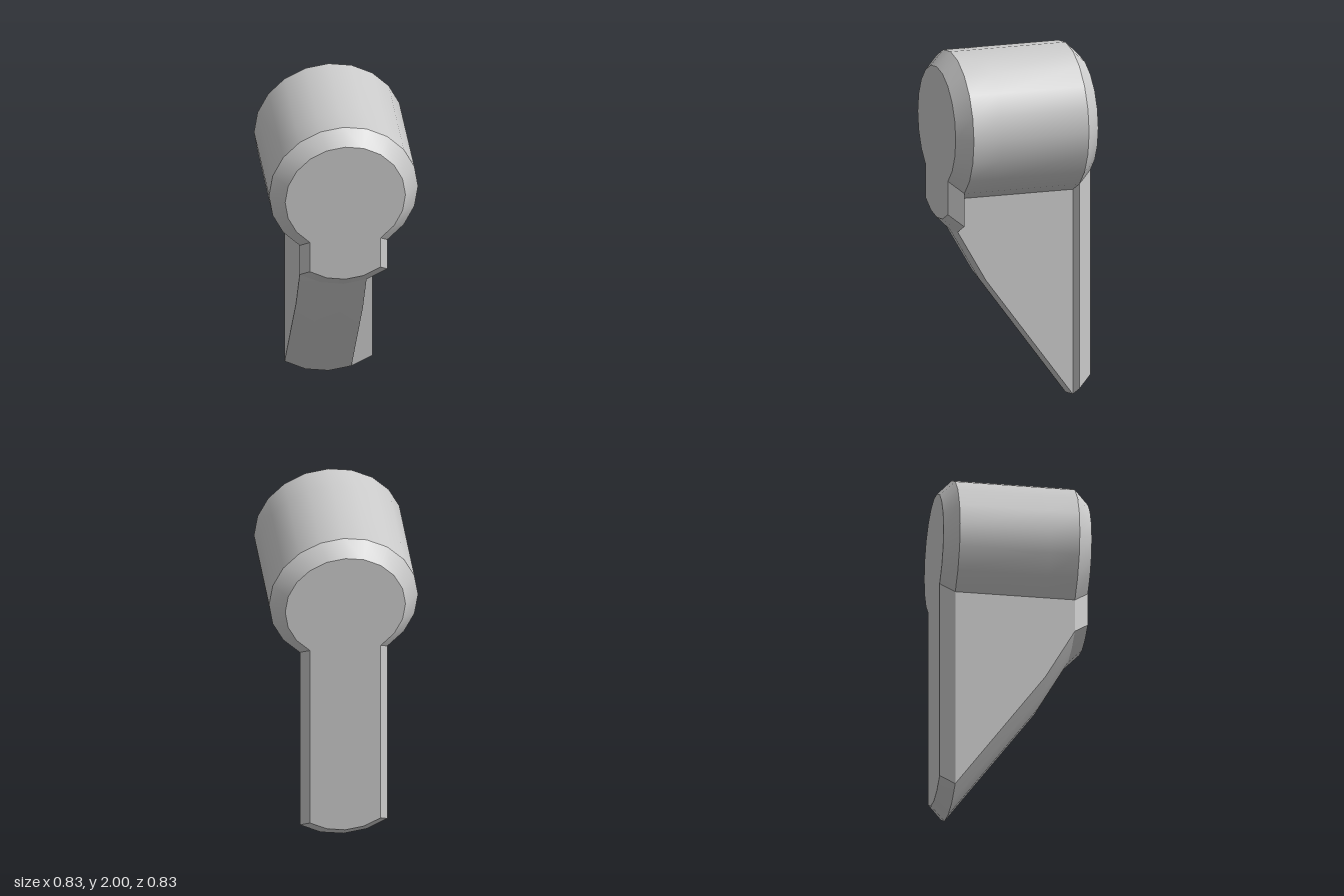
import * as THREE from 'three';
import { toCreasedNormals } from 'three/addons/utils/BufferGeometryUtils.js';

const R = 0.415, INSET = 0.335, CENTRE = 1.585, STEP = Math.PI / 10;

// Keyhole outline at depth z, counter-clockwise from the front: round head on a round-ended leg.
// r is the head radius, bottom the lowest point of the leg.
// A recessed outline cuts the left side of the leg one step further in.
function keyhole(z, r, bottom, recessed = false) {
  const pts = [];
  const first = recessed ? 1 : 2;
  for (let k = first; k <= 18; k++) {
    pts.push(new THREE.Vector3(r * Math.sin(k * STEP), CENTRE - r * Math.cos(k * STEP), z));
  }
  for (let k = -2; k <= first; k++) {
    pts.push(new THREE.Vector3(r * Math.sin(k * STEP), bottom + r * (1 - Math.cos(k * STEP)), z));
  }
  return pts;
}

// Skin a row of outlines running front to back and close both ends
function loft(name, loops, material) {
  const pos = [];
  const tri = (...corners) => corners.forEach((p) => pos.push(p.x, p.y, p.z));
  for (let s = 0; s < loops.length - 1; s++) {
    const a = loops[s], b = loops[s + 1];
    a.forEach((p, i) => {
      const j = (i + 1) % a.length;
      tri(p, b[i], b[j]);
      tri(p, b[j], a[j]);
    });
  }
  const cap = (loop, flip) => {
    const flat = loop.map((p) => new THREE.Vector2(p.x, p.y));
    for (const [i, j, k] of THREE.ShapeUtils.triangulateShape(flat, [])) {
      if (flip) tri(loop[i], loop[k], loop[j]);
      else tri(loop[i], loop[j], loop[k]);
    }
  };
  cap(loops[0], false);
  cap(loops[loops.length - 1], true);
  const geometry = new THREE.BufferGeometry();
  geometry.setAttribute('position', new THREE.Float32BufferAttribute(pos, 3));
  const mesh = new THREE.Mesh(toCreasedNormals(geometry, 0.45), material);
  mesh.name = name;
  return mesh;
}

export function createModel() {
  const group = new THREE.Group();
  group.name = 'wedgeLever';
  const material = new THREE.MeshStandardMaterial({ color: 0xcccccc });

  // Bevelled plate with the short front tab
  group.add(loft('frontPlate', [
    keyhole(R, INSET, 1.06),
    keyhole(INSET, R, 0.98),
  ], material));

  // Round barrel with the sloping wedge below it
  group.add(loft('barrelAndWedge', [
    keyhole(INSET, R, 0.98, true),
    keyhole(0.17, R, 0.69, true),
    keyhole(-INSET, R, 0, true),
  ], material));

  // Bevelled plate with the full-length leg
  group.add(loft('backPlate', [
    keyhole(-INSET, R, 0),
    keyhole(-R, INSET, 0.08),
  ], material));

  return group;
}
